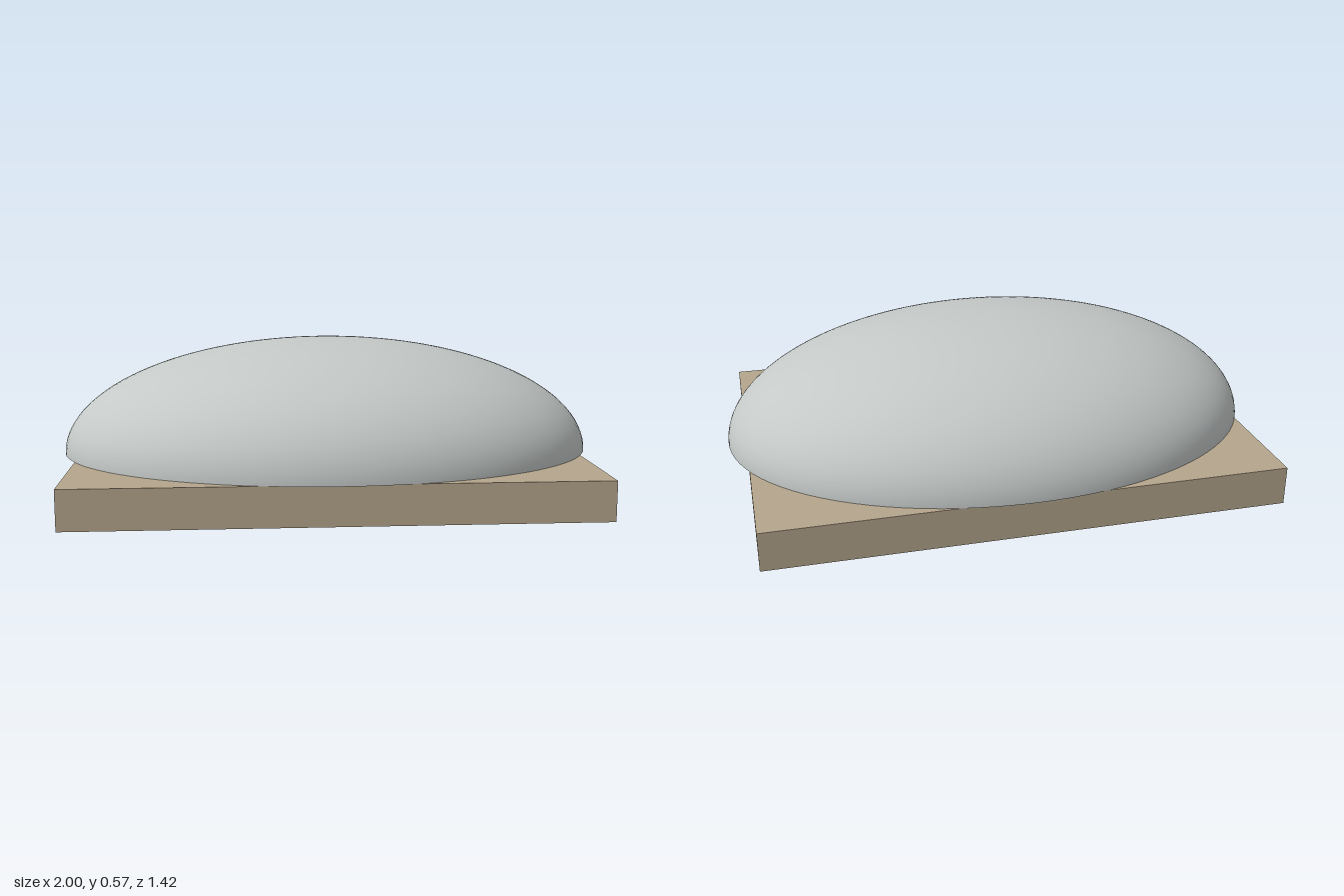
import * as THREE from 'three';

const BASE_H = 0.143;
const RX = 1, RY = 0.427, RZ = 0.71;

export function createModel() {
  const group = new THREE.Group();
  const stoneMat = new THREE.MeshStandardMaterial({ color: 0xb5a58c });
  const domeMat = new THREE.MeshStandardMaterial({ color: 0xc4c9c8 });

  // Rectangular slab under the dome
  const slab = new THREE.Mesh(new THREE.BoxGeometry(1.87, BASE_H, 1.37), stoneMat);
  slab.name = 'baseSlab';
  slab.position.y = BASE_H / 2;
  group.add(slab);

  // Half-ellipsoid dome, built as four bands that meet at ring seams
  const dome = new THREE.Group();
  dome.name = 'dome';
  dome.position.y = BASE_H;
  dome.scale.set(RX, RY, RZ);
  const seams = [0, 26.6, 49.2, 71.8, 90].map(THREE.MathUtils.degToRad);
  for (let i = 0; i < 4; i++) {
    const geo = new THREE.SphereGeometry(1, 96, 10, 0, Math.PI * 2, seams[i], seams[i + 1] - seams[i]);
    const band = new THREE.Mesh(geo, domeMat);
    band.name = i === 0 ? 'domeCrown' : `domeBand${i}`;
    dome.add(band);
  }

  // Flat underside, seen where the dome overhangs the slab
  const underside = new THREE.Mesh(new THREE.CircleGeometry(1, 96).rotateX(Math.PI / 2), domeMat);
  underside.name = 'domeUnderside';
  dome.add(underside);
  group.add(dome);

  return group;
}
